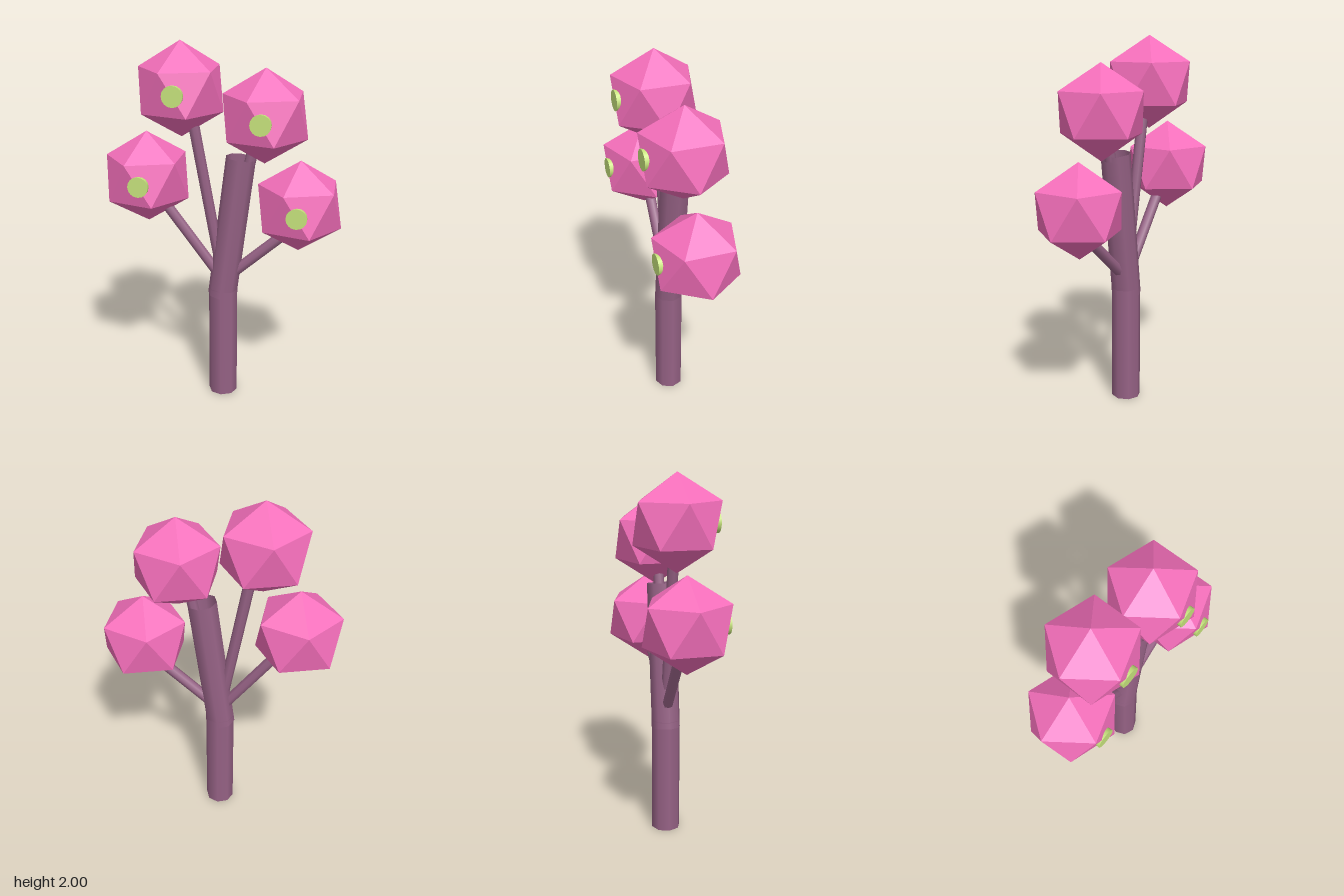
import * as THREE from 'three';

const bark = new THREE.MeshStandardMaterial({ color: 0x966285, side: THREE.DoubleSide });
const petal = new THREE.MeshStandardMaterial({ color: 0xf56fbb, flatShading: true });
const lime = new THREE.MeshStandardMaterial({ color: 0xc6e27c });

// Straight round limb between two points in the z = 0 plane
function limb(name, [x0, y0], [x1, y1], radius, open) {
  const a = new THREE.Vector3(x0, y0, 0);
  const b = new THREE.Vector3(x1, y1, 0);
  const dir = b.clone().sub(a);
  const mesh = new THREE.Mesh(new THREE.CylinderGeometry(radius, radius, dir.length(), 8, 1, open), bark);
  mesh.position.copy(a).add(b).multiplyScalar(0.5);
  mesh.quaternion.setFromUnitVectors(new THREE.Vector3(0, 1, 0), dir.normalize());
  mesh.name = name;
  return mesh;
}

export function createModel() {
  const model = new THREE.Group();
  model.name = 'tree';

  // Hollow trunk: upright lower part, leaning upper part
  model.add(limb('lowerTrunk', [0, 0], [0, 0.65], 0.08, true));
  model.add(limb('upperTrunk', [-0.005, 0.603], [0.095, 1.397], 0.08, true));

  // Icosahedron turned to stand on one corner
  const crownGeo = new THREE.IcosahedronGeometry(0.25, 0);
  crownGeo.rotateZ(Math.atan(2 / (1 + Math.sqrt(5))));
  // Round disc facing the front
  const discGeo = new THREE.CylinderGeometry(0.055, 0.055, 0.03, 16);
  discGeo.rotateX(Math.PI / 2);

  // Each branch with its crown centre and the branch tip hidden inside it
  const crowns = [
    { name: 'upperRight', centre: [-0.222, 1.75], tip: [-0.172, 1.65] },
    { name: 'upperLeft', centre: [0.22, 1.622], tip: [0.178, 1.54] },
    { name: 'lowerRight', centre: [-0.413, 1.272], tip: [-0.36, 1.18] },
    { name: 'lowerLeft', centre: [0.411, 1.146], tip: [0.36, 1.005] },
  ];
  for (const { name, centre, tip } of crowns) {
    model.add(limb(name + 'Branch', [0, 0.69], tip, 0.03, false));
    const group = new THREE.Group();
    group.name = name + 'Crown';
    const foliage = new THREE.Mesh(crownGeo, petal);
    foliage.name = 'foliage';
    const disc = new THREE.Mesh(discGeo, lime);
    disc.name = 'fruitDisc';
    disc.position.z = 0.2;
    group.add(foliage, disc);
    group.position.set(centre[0], centre[1], 0);
    model.add(group);
  }
  return model;
}
